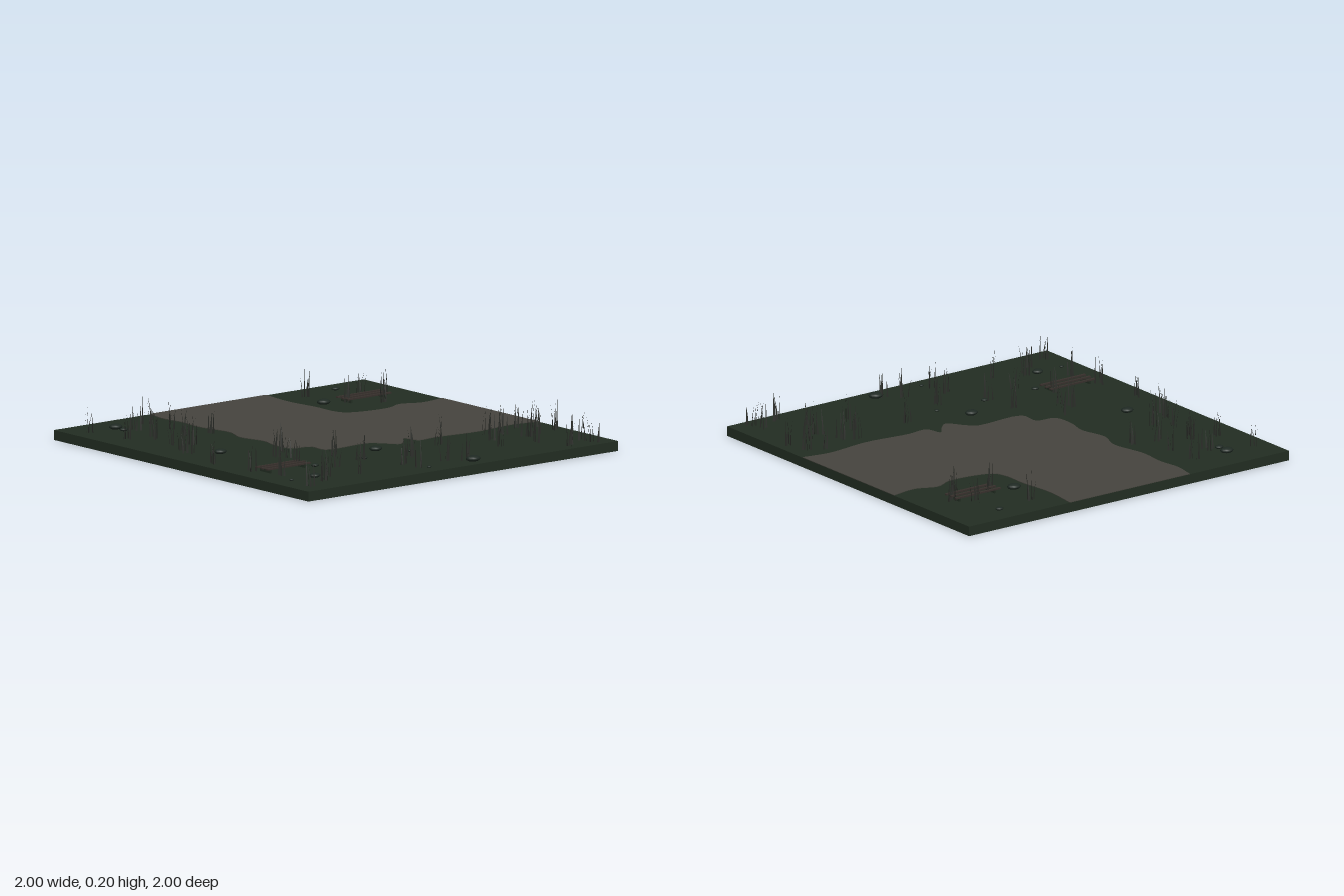
import * as THREE from 'three';
import { mergeGeometries } from 'three/addons/utils/BufferGeometryUtils.js';

const material = (name, color, side = THREE.FrontSide) => {
  const m = new THREE.MeshStandardMaterial({ color, side });
  m.name = name;
  return m;
};

// Small seeded generator so the grass is always the same
function seeded(seed) {
  return () => {
    seed = (seed * 1664525 + 1013904223) % 4294967296;
    return seed / 4294967296;
  };
}

export function createModel() {
  const root = new THREE.Group();
  root.name = 'groundTile';
  const ground = material('ground green', 0x222d22);
  const dirt = material('path grey', 0x46443e);
  const stone = material('stone dark', 0x1f2923);
  const wood = material('wood brown', 0x37302c);
  const grass = material('grass dark', 0x2b2d29, THREE.DoubleSide);

  const add = (name, geometry, mat, parent = root) => {
    const mesh = new THREE.Mesh(geometry, mat);
    mesh.name = name;
    parent.add(mesh);
    return mesh;
  };

  // Ground slab
  add('slab', new THREE.BoxGeometry(2, 0.05, 2), ground).position.y = 0.025;

  // Bent path with soft, wavy borders, running from the back edge to the left edge
  const inner = [[-0.38, -1], [-0.4, -0.88], [-0.385, -0.75], [-0.395, -0.6], [-0.36, -0.4],
    [-0.4, -0.27], [-0.37, -0.12], [-0.395, 0], [-0.38, 0.115], [-0.28, 0.135], [-0.27, 0.245],
    [0, 0.25], [0.045, 0.29], [0.11, 0.37], [0.17, 0.325], [0.215, 0.275], [0.24, 0.355],
    [0.36, 0.35], [0.6, 0.375], [0.85, 0.35], [1, 0.375]];
  const outer = [[1, -0.38], [0.85, -0.36], [0.74, -0.4], [0.63, -0.36], [0.4, -0.4],
    [0.37, -0.47], [0.37, -0.6], [0.35, -0.8], [0.37, -1]];
  const border = (points) => new THREE.CatmullRomCurve3(
    points.map(([x, z]) => new THREE.Vector3(x, -z, 0)), false, 'centripetal').getPoints(points.length * 4);
  const outline = [...border(inner), ...border(outer)].map((p) => new THREE.Vector2(p.x, p.y));
  const path = new THREE.ExtrudeGeometry(new THREE.Shape(outline), { depth: 0.003, bevelEnabled: false });
  path.rotateX(-Math.PI / 2);
  add('path', path, dirt).position.y = 0.05;

  // Flat stones: x, z, radius
  const stones = [[-0.74, -0.83, 0.036], [-0.745, -0.76, 0.023], [-0.73, -0.02, 0.034],
    [0.72, -0.88, 0.022], [0.455, -0.65, 0.037], [-0.085, 0.415, 0.035], [-0.575, 0.535, 0.021],
    [-0.265, 0.545, 0.018], [0.025, 0.555, 0.014], [-0.895, 0.74, 0.013], [-0.745, 0.74, 0.03],
    [-0.155, 0.92, 0.013], [0.13, 0.92, 0.04]];
  const pebble = new THREE.SphereGeometry(1, 12, 8);
  for (const [x, z, r] of stones) {
    const mesh = add('stone', pebble, stone);
    mesh.position.set(x, 0.054 + r * 0.2, z);
    mesh.scale.set(r, r * 0.4, r * 0.8);
  }

  // Low slatted benches: three slats on two cross bearers
  for (const [x, z] of [[-0.74, 0.485], [0.685, -0.615]]) {
    const bench = new THREE.Group();
    bench.name = 'slattedBench';
    bench.position.set(x, 0.05, z);
    root.add(bench);
    for (const offset of [-0.04, 0, 0.04]) {
      add('slat', new THREE.BoxGeometry(0.28, 0.008, 0.014), wood, bench).position.set(0, 0.022, offset);
    }
    for (const side of [-1, 1]) {
      add('bearer', new THREE.BoxGeometry(0.01, 0.018, 0.08), ground, bench).position.set(side * 0.11, 0.009, 0);
    }
  }

  // Grass tufts: x, z
  const tufts = [[-0.91, 0.15], [-0.9, -0.84], [-0.86, -0.6], [-0.76, -0.35], [-0.58, -0.47],
    [-0.03, 0.645], [0.6, 0.47], [0.9, 0.45], [0.86, 0.87], [0.65, 0.77], [0.25, 0.5],
    [-0.2, 0.77], [-0.83, -0.2], [-0.55, -0.81], [0.94, 0.57], [0.89, 0.94], [0.75, 0.94],
    [0.68, 0.5], [0.47, 0.72], [0.1, 0.91], [-0.18, 0.88], [-0.68, 0.76], [-0.77, 0.83],
    [-0.53, 0.82], [-0.29, 0.55], [-0.62, 0.46], [-0.45, 0.14], [-0.7, -0.27], [-0.72, -0.56],
    [-0.69, -0.74], [-0.45, -0.44], [0.82, -0.62], [0.58, -0.61], [0.5, -0.84], [0.73, -0.7],
    [0.8, 0.6], [0.72, 0.63], [0.53, 0.58], [0.02, 0.83], [-0.32, 0.37], [-0.52, 0.28],
    [-0.56, 0.22], [-0.86, 0.6], [-0.89, 0.42], [-0.52, -0.65], [-0.74, -0.49], [-0.9, 0.9],
    [0.82, 0.42], [-0.5, 0.6], [-0.85, -0.12], [0.7, -0.5]];
  const random = seeded(17);
  const spread = (amount) => (random() - 0.5) * amount;
  const blades = [];
  for (const [x, z] of tufts) {
    for (let i = 0; i < 5; i++) {
      const height = 0.085 + random() * 0.07;
      const blade = new THREE.PlaneGeometry(0.011, height, 1, 3);
      blade.translate(0, height / 2, 0);
      const bend = 0.004 + random() * 0.012;
      const p = blade.attributes.position;
      // Narrow each blade to a point and curve it over
      for (let v = 0; v < p.count; v++) {
        const t = p.getY(v) / height;
        p.setX(v, p.getX(v) * (1 - t * 0.95) + bend * 0.5 * t * t);
        p.setZ(v, bend * t * t);
      }
      blade.rotateY(random() * Math.PI * 2);
      blade.translate(x + spread(0.05), 0.05, z + spread(0.05));
      blade.computeVertexNormals();
      blades.push(blade);
    }
  }
  add('grassTufts', mergeGeometries(blades), grass);
  return root;
}
